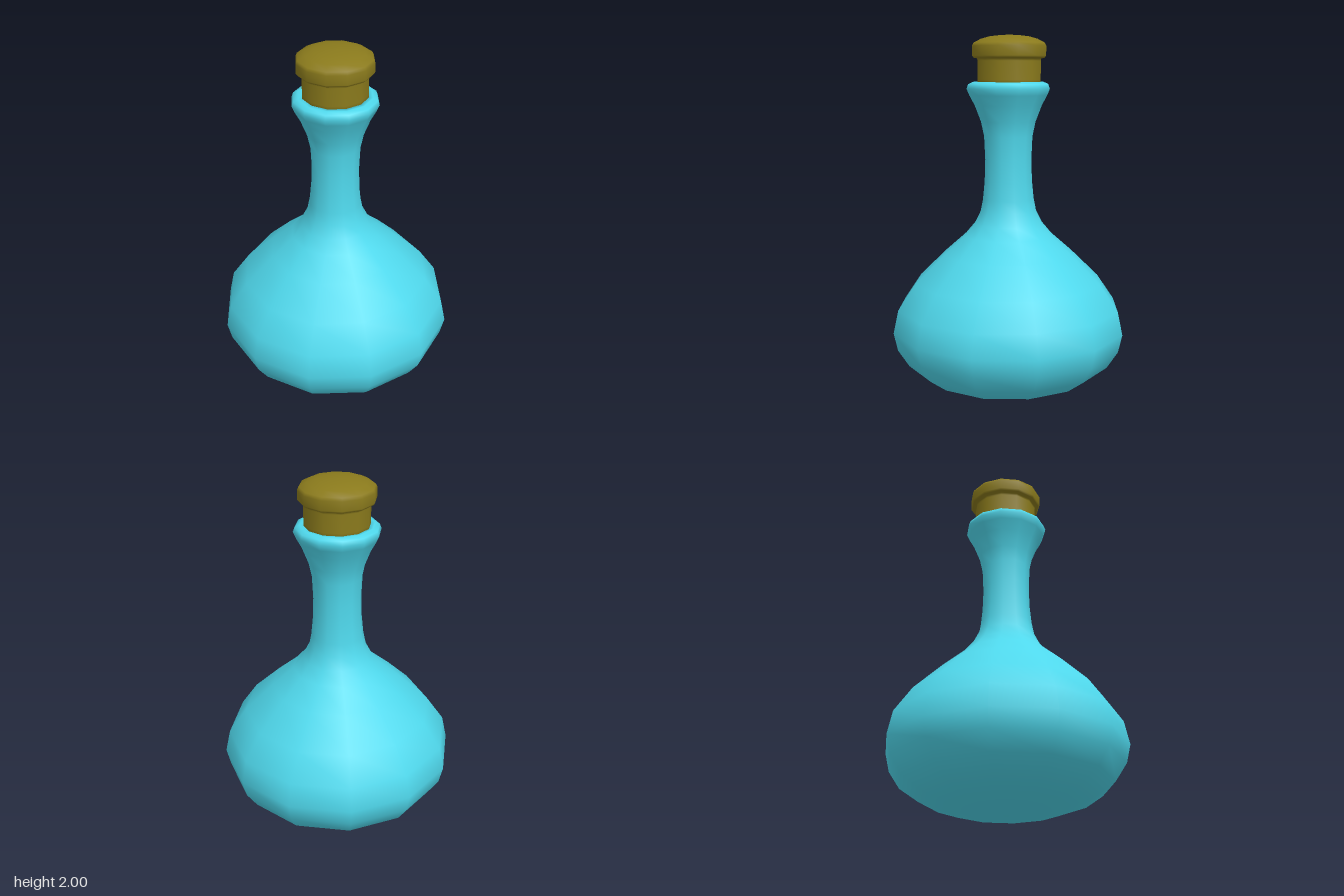
import * as THREE from 'three';

const SIDES = 12;

// Turns a radius/height profile into a smooth-shaded, twelve-sided part
function turned(name, color, profile) {
  const points = profile.map(([r, y]) => new THREE.Vector2(r, y));
  const material = new THREE.MeshStandardMaterial({ color, side: THREE.DoubleSide });
  const mesh = new THREE.Mesh(new THREE.LatheGeometry(points, SIDES), material);
  mesh.name = name;
  return mesh;
}

export function createModel() {
  const group = new THREE.Group();
  group.name = 'stopperedFlask';

  // Round body, slim neck, flared mouth and a short inner wall
  group.add(turned('bottle', 0x4fd8ec, [
    [0, 0], [0.16, 0.01], [0.325, 0.04], [0.467, 0.09], [0.573, 0.165],
    [0.635, 0.26], [0.658, 0.36], [0.63, 0.49], [0.53, 0.635], [0.37, 0.79],
    [0.25, 0.895], [0.195, 0.96], [0.16, 1.03], [0.146, 1.1], [0.136, 1.2],
    [0.132, 1.32], [0.138, 1.45], [0.155, 1.53], [0.19, 1.62], [0.22, 1.675],
    [0.235, 1.71], [0.226, 1.735], [0.2, 1.747], [0.172, 1.745], [0.16, 1.71],
    [0.14, 1.6], [0.115, 1.45],
  ]));

  // Plug, overhanging head and domed top
  const stopper = turned('stopper', 0x8a7a1c, [
    [0, 1.6], [0.13, 1.6], [0.14, 1.61], [0.178, 1.745], [0.178, 1.76],
    [0.178, 1.86], [0.18, 1.873], [0.2, 1.877], [0.208, 1.888], [0.208, 1.94],
    [0.2, 1.957], [0.16, 1.978], [0.11, 1.992], [0.05, 1.999], [0, 2],
  ]);
  stopper.position.set(-0.004, 0, -0.003);
  group.add(stopper);

  return group;
}
